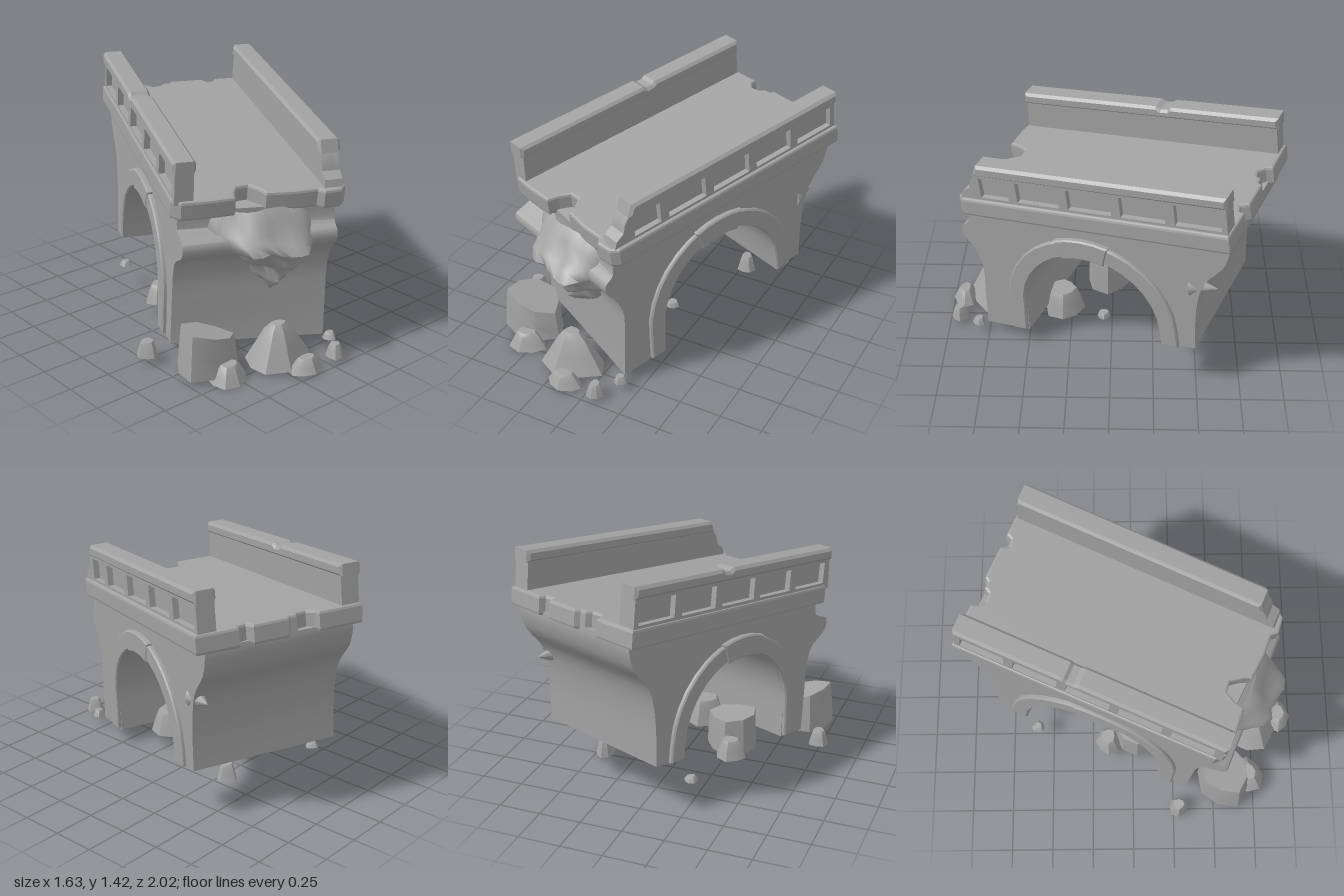
import * as THREE from 'three';
import { toCreasedNormals } from 'three/addons/utils/BufferGeometryUtils.js';

const stone = new THREE.MeshStandardMaterial({ color: 0xa2a2a2 });
stone.name = 'grey stone';

function add(parent, name, geometry, crease = 0.6) {
  const mesh = new THREE.Mesh(toCreasedNormals(geometry, crease), stone);
  mesh.name = name;
  parent.add(mesh);
  return mesh;
}

// Side outline [distance toward the back, height], extruded across the bridge around x
function across(points, x, width, bevel = 0, holes = []) {
  const flip = list => list.map(([u, y]) => new THREE.Vector2(-u, y));
  const shape = new THREE.Shape(flip(points));
  for (const h of holes) shape.holes.push(new THREE.Path(flip(h)));
  const depth = width - 2 * bevel;
  const g = new THREE.ExtrudeGeometry(shape, {
    depth, bevelEnabled: bevel > 0, bevelThickness: bevel, bevelSize: bevel, bevelOffset: -bevel, bevelSegments: 1
  });
  return g.translate(0, 0, -depth / 2).rotateY(-Math.PI / 2).translate(x, 0, 0);
}

const spline = (pts, n) => new THREE.SplineCurve(pts.map(p => new THREE.Vector2(...p))).getPoints(n).map(p => [p.x, p.y]);

// Arch points from the front springing (180 degrees) over to the back
const CU = -0.03, CY = -0.75;
function arc(r, from = 180, to = 0, n = 16) {
  return Array.from({ length: n + 1 }, (_, i) => {
    const a = THREE.MathUtils.degToRad(from + (to - from) * i / n);
    return [CU + r * Math.cos(a), CY + r * Math.sin(a)];
  });
}

function buildPiers(bridge) {
  const front = spline([[-0.74, -0.1], [-0.75, -0.2], [-0.8, -0.24], [-0.805, -0.3], [-0.745, -0.39], [-0.715, -0.52], [-0.735, -0.7], [-0.765, -0.94]], 21);
  const back = spline([[0.6, -0.85], [0.63, -0.58], [0.69, -0.39], [0.81, -0.26], [0.855, -0.16], [0.86, -0.1]], 15);
  const body = across([...front, [-0.475, -0.94], ...arc(0.43), [0.402, -0.85], ...back], 0, 0.88);
  // The front face is worn back on the left, except for a ledge near the top
  const p = body.attributes.position;
  for (let i = 0; i < p.count; i++) {
    if (p.getX(i) > 0 || p.getZ(i) < 0.6) continue;
    const y = p.getY(i);
    const worn = y > -0.27 ? 0.06 * THREE.MathUtils.smoothstep(y, -0.24, -0.2)
      : 0.06 * THREE.MathUtils.smoothstep(-y, 0.32, 0.42) + 0.04 * THREE.MathUtils.smoothstep(-y, 0.5, 0.94);
    p.setZ(i, p.getZ(i) - worn);
  }
  add(bridge, 'archedBody', body, 0.7);

  // Arch trim and keystone on both faces
  const trim = [[-0.575, -0.93], ...arc(0.535), [0.505, -0.85], [0.402, -0.85], ...arc(0.43, 0, 180), [-0.48, -0.93]];
  const key = [...arc(0.545, 107, 71, 4), ...arc(0.42, 71, 107, 4)];
  for (const s of [-1, 1]) {
    add(bridge, 'archTrim', across(trim, s * 0.44, 0.05, 0.008));
    add(bridge, 'keystone', across(key, s * 0.443, 0.058, 0.008));
  }

  // Small stub of masonry on the back corner
  const stub = add(bridge, 'brokenStub', new THREE.ConeGeometry(0.06, 0.16, 8).rotateX(-Math.PI / 2), 1.2);
  stub.position.set(0.4, -0.43, -0.68);
}

// Eroded core hanging out of the front end: rows are [height, centre, half width, reach]
function buildErodedCore(bridge) {
  const rows = [
    [-0.1, 0.03, 0.26, 0.75], [-0.15, 0.03, 0.29, 0.82], [-0.21, 0.03, 0.31, 0.85], [-0.24, 0.04, 0.29, 0.91],
    [-0.29, 0.07, 0.28, 0.95], [-0.33, 0.1, 0.22, 0.89], [-0.37, 0.12, 0.22, 0.88], [-0.41, 0.12, 0.19, 0.86],
    [-0.44, 0.1, 0.12, 0.81], [-0.49, 0.1, 0.11, 0.83], [-0.53, 0.11, 0.09, 0.8], [-0.57, 0.1, 0.04, 0.77], [-0.6, 0.1, 0.005, 0.72]
  ];
  const cols = 16, pos = [], idx = [];
  rows.forEach(([y, c, hw, reach], i) => {
    for (let j = 0; j <= cols; j++) {
      const a = Math.PI * j / cols;
      const lump = 1 + 0.1 * Math.sin(j * 1.1 + i * 0.6) + 0.04 * Math.sin(j * 2.2 - i);
      pos.push(c - hw * Math.cos(a), y + 0.01 * Math.sin(j * 0.9 + i * 0.5), 0.66 + (reach - 0.66) * Math.sin(a) * lump);
      if (i && j) {
        const d = i * (cols + 1) + j, b = d - cols - 1;
        idx.push(b - 1, d - 1, d, b - 1, d, b);
      }
    }
  });
  const g = new THREE.BufferGeometry();
  g.setAttribute('position', new THREE.Float32BufferAttribute(pos, 3));
  g.setIndex(idx);
  add(bridge, 'erodedCore', g, 1.4);
}

function buildDeck(bridge) {
  // Plan outline [across, toward the back] with broken ends
  const plan = [
    [-0.485, -0.7], [-0.44, -0.75], [-0.3, -0.755], [-0.14, -0.745], [-0.125, -0.68], [-0.09, -0.62], [-0.03, -0.615], [0.02, -0.68],
    [0.04, -0.725], [0.2, -0.74], [0.33, -0.735], [0.36, -0.77], [0.46, -0.76], [0.495, -0.72],
    [0.495, 0.88], [0.25, 0.885], [0.235, 0.85], [0.19, 0.84], [0.165, 0.885], [-0.04, 0.885], [-0.06, 0.86], [-0.1, 0.86],
    [-0.12, 0.83], [-0.175, 0.82], [-0.21, 0.85], [-0.22, 0.89], [-0.485, 0.885]
  ].map(p => new THREE.Vector2(...p));
  const g = new THREE.ExtrudeGeometry(new THREE.Shape(plan), {
    depth: 0.08, bevelEnabled: true, bevelThickness: 0.016, bevelSize: 0.014, bevelOffset: -0.014, bevelSegments: 2
  });
  add(bridge, 'deck', g.rotateX(-Math.PI / 2).translate(0, -0.106, 0), 0.3);
}

function buildParapet(bridge, side, wallEnd, copingEnd) {
  const rail = new THREE.Group();
  rail.name = side > 0 ? 'rightParapet' : 'leftParapet';
  bridge.add(rail);
  const wall = [...wallEnd, [0.87, 0.16], [0.87, -0.03]];
  add(rail, 'wall', across(wall, side * 0.405, 0.07));

  // Raised frame around the recessed panels
  const holes = [];
  for (let i = 0; i < 5; i++) {
    const a = i ? -0.682 + i * 0.315 : (side > 0 ? -0.6 : -0.68), b = -0.422 + i * 0.315;
    holes.push([[a, 0.005], [b, 0.005], [b, 0.13], [a, 0.13]]);
  }
  add(rail, 'panelFrame', across(wall, side * 0.4575, 0.035, 0, holes));
  add(rail, 'coping', across([...copingEnd, [0.88, 0.215], [0.88, 0.145]], side * 0.425, 0.13, 0.016), 0.35);
}

// Stone with a slanted, narrowed top and an uneven outline
function rock(parent, x, z, y, rx, rz, h, top, slant = 0, turn = 0) {
  const sides = 8, pos = [], idx = [];
  const rings = [[0, 1], [0.45, 0.6 + top * 0.4], [0.85, 0.25 + top * 0.75], [1, top]];
  rings.forEach(([t, s], i) => {
    for (let j = 0; j < sides; j++) {
      const a = turn + j / sides * Math.PI * 2, wob = 1 + 0.1 * Math.sin(j * 2.3 + x * 20);
      const px = Math.cos(a) * rx * s * wob, pz = Math.sin(a) * rz * s * wob;
      pos.push(px, h * t * (1 - slant * px / rx), pz);
      if (i) {
        const k = (j + 1) % sides, p = (i - 1) * sides, q = i * sides;
        idx.push(p + j, q + j, q + k, p + j, q + k, p + k);
      }
    }
  });
  const last = (rings.length - 1) * sides;
  for (let j = 1; j < sides - 1; j++) idx.push(0, j, j + 1, last, last + j + 1, last + j);
  const g = new THREE.BufferGeometry();
  g.setAttribute('position', new THREE.Float32BufferAttribute(pos, 3));
  g.setIndex(idx);
  add(parent, 'rock', g, 0.6).position.set(x, y, z);
}

export function createModel() {
  const model = new THREE.Group();
  model.name = 'ruinedBridge';

  // The bridge stands turned and tilted, with its origin at deck height
  const bridge = new THREE.Group();
  bridge.name = 'bridge';
  bridge.rotation.set(0.122, -0.4014, -0.02, 'YXZ');
  bridge.position.set(0.012, 1.1, 0);
  model.add(bridge);

  buildPiers(bridge);
  buildErodedCore(bridge);
  buildDeck(bridge);
  buildParapet(bridge, -1,
    [[-0.735, -0.03], [-0.725, 0.1], [-0.72, 0.16]],
    [[-0.735, 0.145], [-0.73, 0.215], [0.14, 0.215], [0.17, 0.198], [0.21, 0.2], [0.23, 0.215]]);
  buildParapet(bridge, 1,
    [[-0.74, -0.03], [-0.72, 0.03], [-0.67, 0.06], [-0.655, 0.11], [-0.615, 0.16]],
    [[-0.63, 0.145], [-0.6, 0.215]]);

  // Fallen rubble: x, z, base, radii, height, top scale, slant, turn
  const rubble = new THREE.Group();
  rubble.name = 'rubble';
  model.add(rubble);
  [
    [-0.57, 0.57, 0.03, 0.18, 0.16, 0.22, 0.86, 0.24, 0.3],
    [-0.2, 0.75, 0.02, 0.2, 0.15, 0.23, 0.22, 0, 0.2],
    [-0.54, 0.72, 0.005, 0.115, 0.1, 0.1, 0.45],
    [-0.15, 0.93, 0.015, 0.11, 0.07, 0.08, 0.45],
    [0.06, 0.94, 0.03, 0.05, 0.055, 0.08, 0.5],
    [0.15, 0.81, 0.06, 0.04, 0.04, 0.04, 0.55],
    [-0.75, 0.28, 0.05, 0.06, 0.06, 0.09, 0.55],
    [0, 0.3, 0.07, 0.13, 0.12, 0.15, 0.6],
    [-0.28, 0.03, 0.07, 0.15, 0.135, 0.22, 0.93, 0.05],
    [-0.33, -0.15, 0.1, 0.09, 0.08, 0.11, 0.5],
    [0.08, 0.05, 0.065, 0.04, 0.04, 0.03, 0.7],
    [0.35, -0.44, 0.13, 0.055, 0.06, 0.1, 0.5, 0.1],
    [-0.25, -0.59, 0.155, 0.04, 0.04, 0.03, 0.5]
  ].forEach(r => rock(rubble, ...r));

  return model;
}
